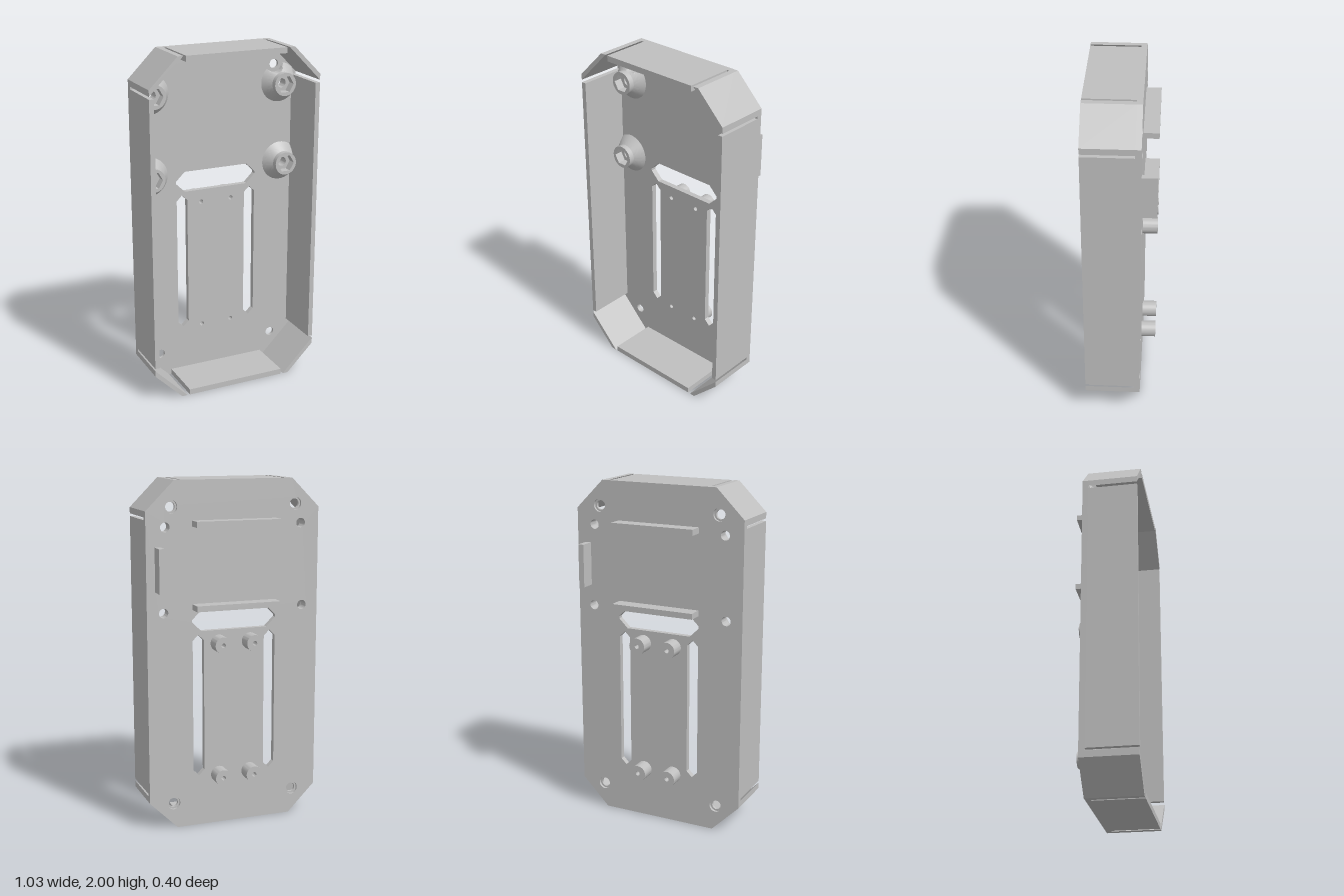
import * as THREE from 'three';
import { toCreasedNormals } from 'three/addons/utils/BufferGeometryUtils.js';

const BACK = -0.115, FLOOR = -0.083, RIM = 0.2;
const W = 0.515, INNER = 0.487;

const polygon = (pts, Type = THREE.Shape) => new Type(pts.map(([x, y]) => new THREE.Vector2(x, y)));
const circle = (x, y, r, Type = THREE.Path) => {
  const c = new Type();
  c.absarc(x, y, r, 0, Math.PI * 2, false);
  return c;
};
const hexagon = (x, y, r) => polygon([0, 1, 2, 3, 4, 5].map(i =>
  [x + r * Math.cos(i * Math.PI / 3), y + r * Math.sin(i * Math.PI / 3)]), THREE.Path);

export function createModel() {
  const group = new THREE.Group();
  const grey = new THREE.MeshStandardMaterial({ color: 0xbfbfbf });

  const add = (name, geo) => {
    const mesh = new THREE.Mesh(geo, grey);
    mesh.name = name;
    group.add(mesh);
  };
  // Extrude an outline with holes between two z levels
  const slab = (name, shape, holes, z0, z1) => {
    shape.holes = holes;
    const geo = new THREE.ExtrudeGeometry(shape, { depth: z1 - z0, bevelEnabled: false, curveSegments: 20 });
    geo.translate(0, 0, z0);
    add(name, toCreasedNormals(geo, 0.5));
  };
  const box = (name, x0, x1, y0, y1, z0, z1) => {
    const geo = new THREE.BoxGeometry(x1 - x0, y1 - y0, z1 - z0);
    geo.translate((x0 + x1) / 2, (y0 + y1) / 2, (z0 + z1) / 2);
    add(name, geo);
  };

  const sides = [-1, 1];
  const screws = sides.flatMap(s => [[s * 0.37, 0.15], [s * 0.37, 1.855]]);
  const bosses = sides.flatMap(s => [[s * 0.405, 1.745], [s * 0.418, 1.27]]);
  const posts = sides.flatMap(s => [[s * 0.095, 0.297], [s * 0.095, 1.08]]);

  // Back plate in two layers, the rear one with wider screw recesses
  const plate = (name, screwR, z0, z1) => {
    const outline = polygon([[-0.35, 0], [0.35, 0], [W, 0.165], [W, 1.835], [0.35, 2], [-0.35, 2], [-W, 1.835], [-W, 0.165]]);
    const window = polygon([[-0.252, 1.208], [-0.198, 1.155], [0.198, 1.155], [0.252, 1.208],
      [0.252, 1.222], [0.198, 1.275], [-0.198, 1.275], [-0.252, 1.222]], THREE.Path);
    const slots = sides.map(s => polygon([[s * 0.183, 0.335], [s * 0.217, 0.302], [s * 0.25, 0.335],
      [s * 0.25, 1.102], [s * 0.217, 1.135], [s * 0.183, 1.102]], THREE.Path));
    slab(name, outline, [window, ...slots,
      ...screws.map(([x, y]) => circle(x, y, screwR)),
      ...bosses.map(([x, y]) => circle(x, y, 0.027)),
      ...posts.map(([x, y]) => circle(x, y, 0.013))], z0, z1);
  };
  plate('backPlateRear', 0.037, BACK, -0.1);
  plate('backPlateFront', 0.027, -0.1, FLOOR);

  // Straight walls, separated from the corner walls by narrow slots
  for (const s of sides) {
    const x = [s * INNER, s * W].sort((a, b) => a - b);
    box(s > 0 ? 'leftWall' : 'rightWall', x[0], x[1], 0.215, 1.785, FLOOR, RIM);
  }
  box('bottomWall', -0.302, 0.302, 0, 0.033, FLOOR, RIM);
  box('topWall', -0.302, 0.302, 1.967, 2, FLOOR, RIM);

  // Chamfered corner walls
  for (const sx of sides) for (const sy of sides) {
    const pts = [[W, 0.8], [W, 0.835], [0.35, 1], [0.317, 1]].map(([x, y]) => [sx * x, 1 + sy * y]);
    slab('cornerWall', polygon(pts), [], FLOOR, RIM);
  }

  // Conical bosses with hex nut pockets, trimmed by the side wall and nearby screw hole
  for (const [cx, cy] of bosses) {
    const profile = [];
    for (let i = 0; i <= 8; i++) profile.push(new THREE.Vector2(0.115 - 0.047 * i / 8, FLOOR + 0.05 * i / 8));
    const geo = new THREE.LatheGeometry(profile, 64);
    geo.rotateX(Math.PI / 2);
    const p = geo.attributes.position;
    const hx = Math.sign(cx) * 0.37 - cx, hy = 1.855 - cy, clear = 0.047;
    for (let i = 0; i < p.count; i++) {
      let r = Math.hypot(p.getX(i), p.getY(i));
      const ux = p.getX(i) / r, uy = p.getY(i) / r;
      const along = ux * hx + uy * hy, across = ux * hy - uy * hx;
      if (along > 0 && Math.abs(across) < clear)
        r = Math.min(r, along - Math.sqrt(clear * clear - across * across));
      const limit = INNER + 0.002 - Math.abs(cx);
      if (ux * Math.sign(cx) * r > limit) r = limit / Math.abs(ux);
      p.setXY(i, cx + ux * r, cy + uy * r);
    }
    add('bossCone', toCreasedNormals(geo, 0.5));
    slab('bossBase', circle(cx, cy, 0.066, THREE.Shape), [circle(cx, cy, 0.027)], FLOOR, -0.05);
    slab('bossCollar', circle(cx, cy, 0.068, THREE.Shape), [hexagon(cx, cy, 0.053)], -0.05, 0);
  }

  // Rear standoffs and spacer bars
  for (const [x, y] of posts)
    slab('standoff', circle(x, y, 0.048, THREE.Shape), [circle(x, y, 0.013)], -0.2, BACK);
  box('upperBar', -0.25, 0.25, 1.745, 1.778, -0.2, BACK);
  box('lowerBar', -0.25, 0.25, 1.28, 1.313, -0.2, BACK);
  box('sideBar', 0.432, 0.465, 1.39, 1.638, -0.2, BACK);

  return group;
}
